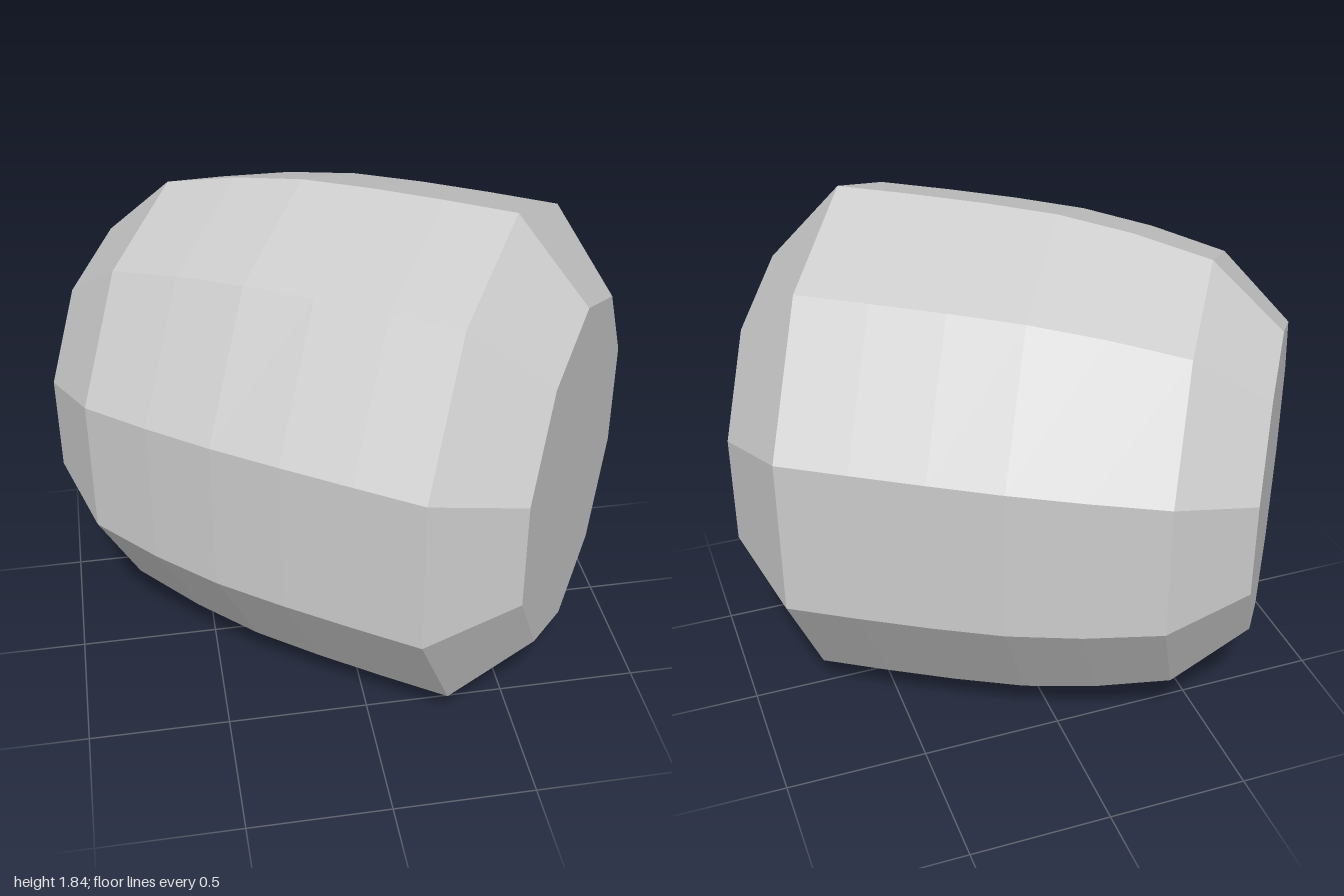
import * as THREE from 'three';

// Ring profile along the barrel axis, back to front: [radius, distance]
const PROFILE = [
  [0, -0.9], [0.56, -0.9], [0.79, -0.653], [0.855, -0.393], [0.895, -0.143],
  [0.91, 0.107], [0.917, 0.358], [0.92, 0.604], [0.635, 0.858], [0, 0.858],
];

export function createModel() {
  const group = new THREE.Group();
  group.name = 'facetedBarrel';

  const stoneGrey = new THREE.MeshStandardMaterial({ color: 0xcccccc, flatShading: true });
  stoneGrey.name = 'stone grey';

  // Ten-sided barrel laid on its side, narrowed sideways and turned to its left
  const points = PROFILE.map(([r, s]) => new THREE.Vector2(r, s));
  const geometry = new THREE.LatheGeometry(points, 10)
    .rotateX(Math.PI / 2)
    .scale(0.852, 1, 1)
    .rotateY(0.993)
    .translate(0, 0.92, -0.035)
    .toNonIndexed();
  geometry.computeVertexNormals();

  const barrel = new THREE.Mesh(geometry, stoneGrey);
  barrel.name = 'barrel';
  group.add(barrel);
  return group;
}
